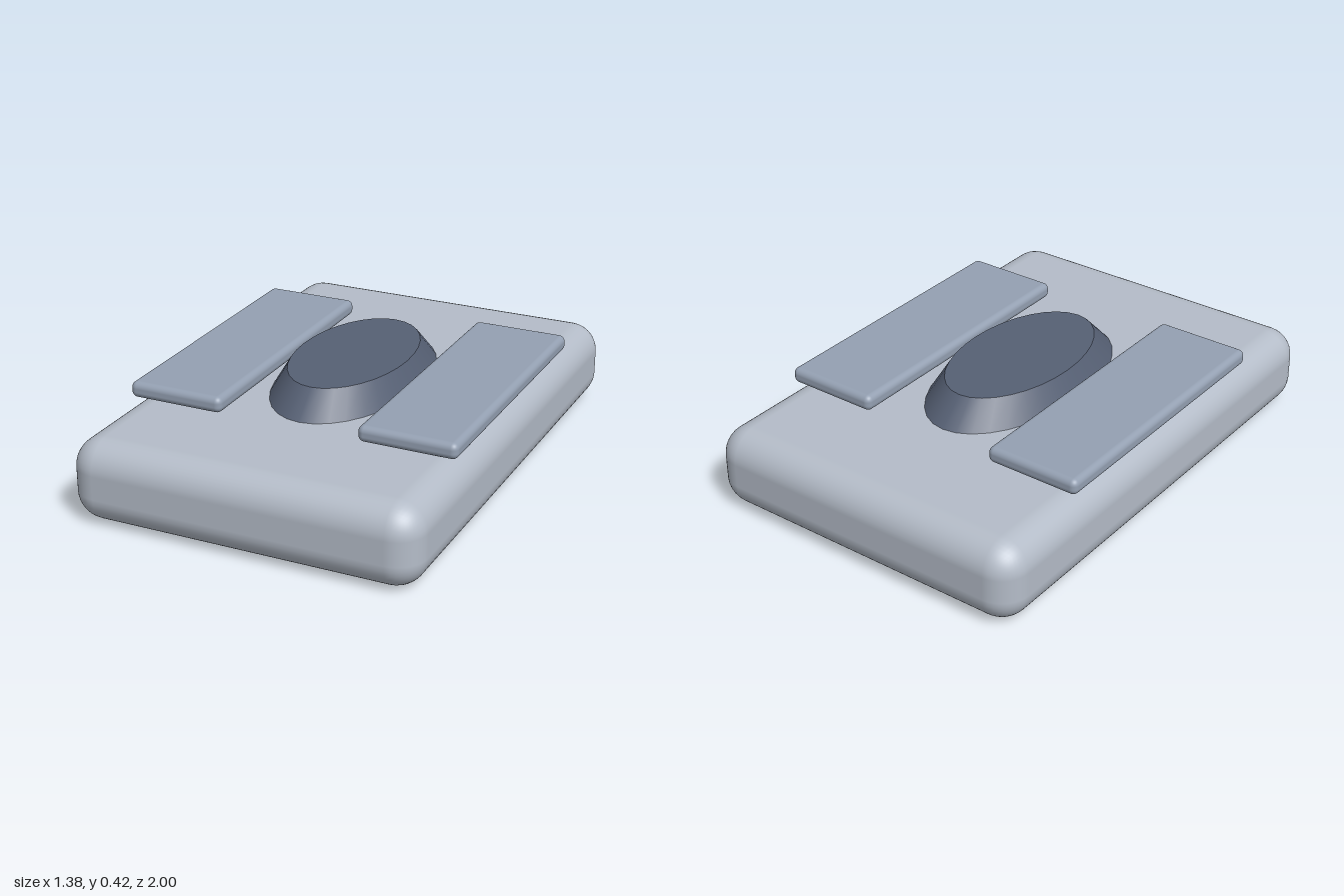
import * as THREE from 'three';
import { RoundedBoxGeometry } from 'three/addons/geometries/RoundedBoxGeometry.js';

export function createModel() {
  const model = new THREE.Group();
  model.name = 'device';

  const add = (name, geometry, color, x, y, z) => {
    const mesh = new THREE.Mesh(geometry, new THREE.MeshStandardMaterial({ color }));
    mesh.name = name;
    mesh.position.set(x, y, z);
    model.add(mesh);
    return mesh;
  };

  // Rounded slab resting on the ground
  add('body', new RoundedBoxGeometry(1.38, 0.323, 2, 5, 0.115), 0xb4bcc8, 0, 0.1615, 0);

  // Tapered oval hub, slightly sunk into the slab
  const hub = new THREE.CylinderGeometry(0.22, 0.28, 0.105, 32);
  hub.scale(1, 1, 1.75);
  add('ovalHub', hub, 0x566074, 0, 0.3715, 0);

  // Flat pads floating just above the slab on either side
  for (const side of [-1, 1]) {
    add(side > 0 ? 'leftPad' : 'rightPad',
      new RoundedBoxGeometry(0.386, 0.064, 1.16, 4, 0.025), 0x94a0b2, side * 0.47, 0.368, 0);
  }

  return model;
}
